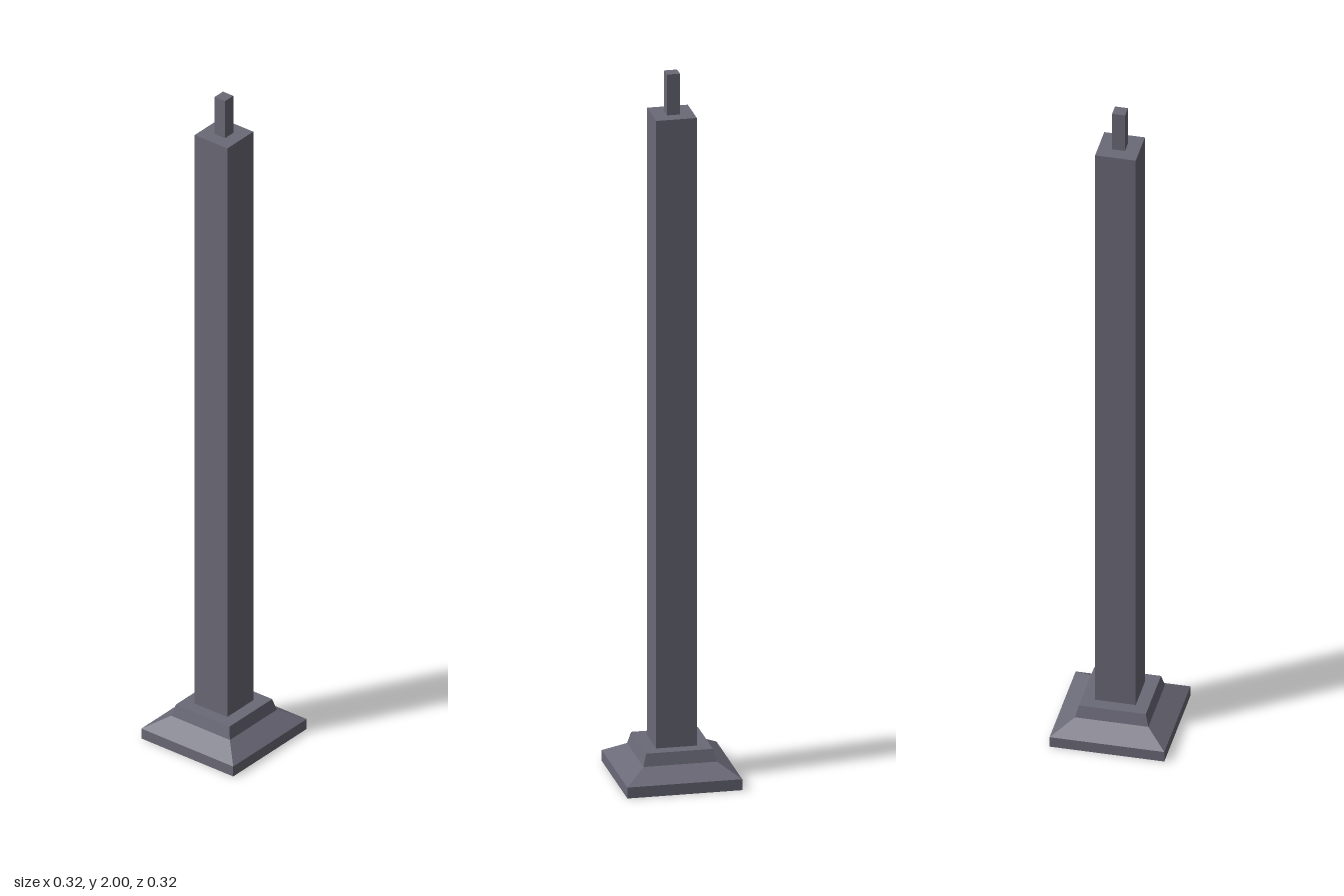
import * as THREE from 'three';

export function createModel() {
  const group = new THREE.Group();
  const stone = new THREE.MeshStandardMaterial({ color: 0x6a6977 });
  stone.name = 'darkGreyStone';

  // Square block, optionally tapered: half widths at bottom and top, from y0 to y1
  function block(name, y0, y1, bottomHalf, topHalf = bottomHalf) {
    const geometry = new THREE.BoxGeometry(2, y1 - y0, 2);
    const p = geometry.attributes.position;
    for (let i = 0; i < p.count; i++) {
      const half = p.getY(i) > 0 ? topHalf : bottomHalf;
      p.setX(i, p.getX(i) * half);
      p.setZ(i, p.getZ(i) * half);
    }
    const flat = geometry.toNonIndexed();
    flat.computeVertexNormals();
    const mesh = new THREE.Mesh(flat, stone);
    mesh.name = name;
    mesh.position.y = (y0 + y1) / 2;
    group.add(mesh);
  }

  // Stepped foot
  block('basePlinth', 0, 0.031, 0.158);
  block('baseSlope', 0.031, 0.066, 0.158, 0.101);
  block('baseCollar', 0.066, 0.1, 0.101, 0.092);

  // Post and the peg on top
  block('shaft', 0.1, 1.884, 0.056);
  block('topPeg', 1.884, 2, 0.0178);

  group.name = 'post';
  return group;
}
